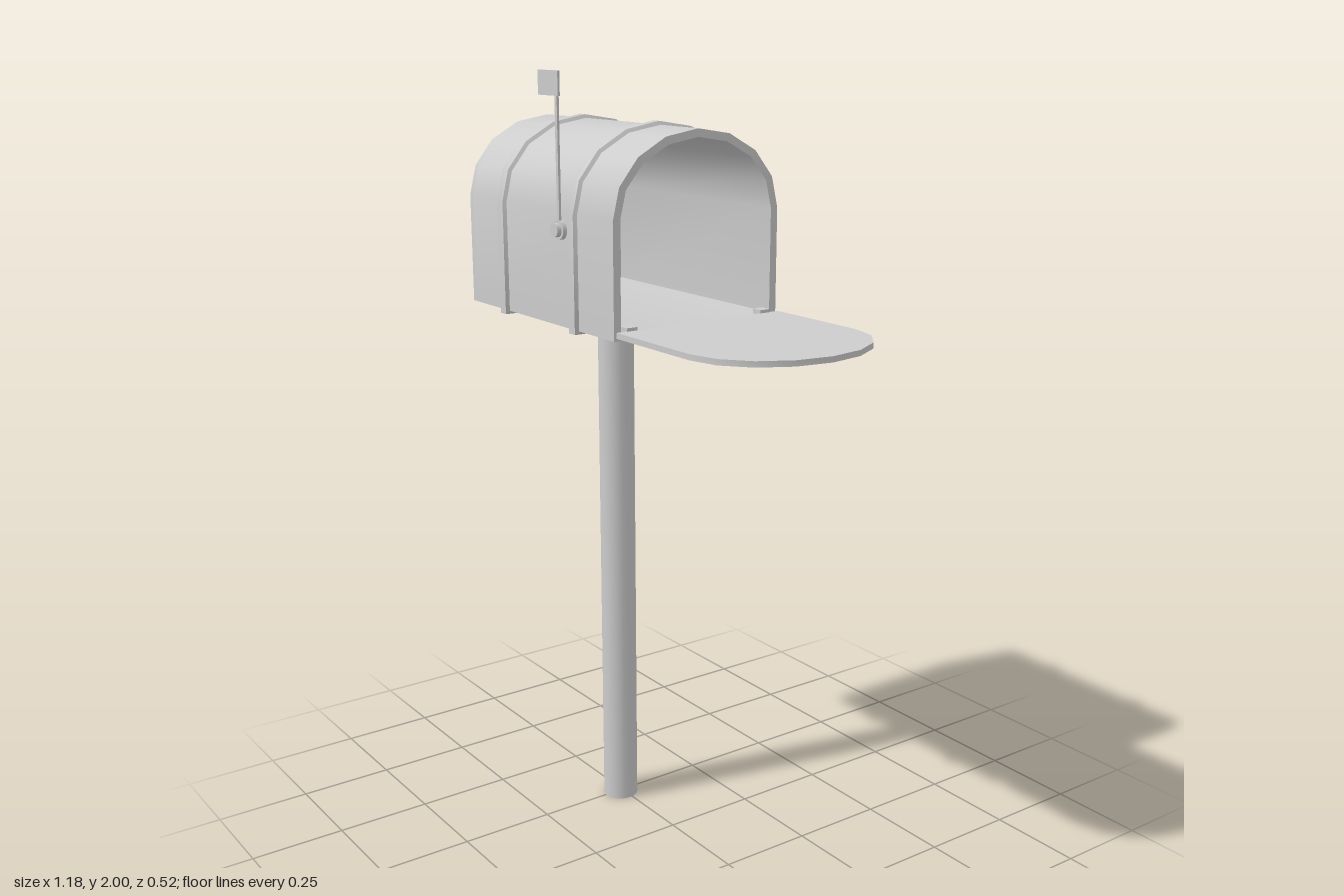
import * as THREE from 'three';
import { toCreasedNormals } from 'three/addons/utils/BufferGeometryUtils.js';

const CZ = -0.008; // centre line of the box in z
const HALF = 0.243, SPRING = 1.67, RISE = 0.2, BASE = 1.39;

// Arched outline, offset outwards by d: bottom right, over the top, bottom left
function arch(d = 0, base = BASE - d) {
  const pts = [new THREE.Vector2(HALF + d, base)];
  for (let i = 0; i <= 8; i++) {
    const a = (i / 8) * Math.PI;
    pts.push(new THREE.Vector2(Math.cos(a) * (HALF + d), SPRING + Math.sin(a) * (RISE + d)));
  }
  pts.push(new THREE.Vector2(-HALF - d, base));
  return pts;
}

// Closes the arch with a gently sagging floor
function closedArch(d, sag = 0.01) {
  const pts = arch(d), n = 8, w = HALF + d;
  for (let i = 1; i < n; i++) {
    const t = -1 + (2 * i) / n;
    pts.push(new THREE.Vector2(t * w, BASE - d - sag * (1 - t * t)));
  }
  return pts;
}

// Extrudes an outline along x from x0 to x1
function alongX(shape, x0, x1) {
  const g = new THREE.ExtrudeGeometry(shape, { depth: x1 - x0, bevelEnabled: false });
  g.rotateY(Math.PI / 2).translate(x0, 0, CZ);
  return toCreasedNormals(g, 0.6);
}

// Raised band that follows the arch and tucks under the floor edges
function ribGeometry(x) {
  const section = [[-0.02, -0.003], [-0.013, 0.009], [0.013, 0.009], [0.02, -0.003]];
  const pos = [], idx = [];
  let n = 0;
  for (const [dx, d] of section) {
    const pts = arch(d);
    pts.unshift(new THREE.Vector2(HALF - 0.025, BASE - d));
    pts.push(new THREE.Vector2(-HALF + 0.025, BASE - d));
    n = pts.length;
    for (const p of pts) pos.push(x + dx, p.y, CZ + p.x);
  }
  for (let j = 0; j < section.length - 1; j++) {
    for (let i = 0; i < n - 1; i++) {
      const a = j * n + i, b = a + n;
      idx.push(a, b, a + 1, b, b + 1, a + 1);
    }
  }
  const g = new THREE.BufferGeometry();
  g.setAttribute('position', new THREE.Float32BufferAttribute(pos, 3));
  g.setIndex(idx);
  return toCreasedNormals(g, 0.9);
}

export function createModel() {
  const group = new THREE.Group();
  group.name = 'mailbox';
  const metal = new THREE.MeshStandardMaterial({ color: 0xcccccc, side: THREE.DoubleSide });
  metal.name = 'light grey metal';

  function add(name, geometry, x = 0, y = 0, z = 0) {
    const m = new THREE.Mesh(geometry, metal);
    m.name = name;
    m.position.set(x, y, z);
    group.add(m);
    return m;
  }

  // Post, open at both ends
  add('post', new THREE.CylinderGeometry(0.047, 0.047, 1.385, 20, 1, true), -0.245, 0.6925, 0.008);

  // Hollow box with an open end, and its closed back
  const shell = new THREE.Shape(closedArch(0));
  shell.holes.push(new THREE.Path(closedArch(-0.02)));
  add('shell', alongX(shell, -0.578, 0.092));
  add('backPanel', alongX(new THREE.Shape(closedArch(0)), -0.592, -0.578));

  // Two pressed ribs
  for (const x of [-0.417, -0.08]) add('rib', ribGeometry(x));

  // Lowered door, the same arch laid flat
  const doorPts = arch(0, BASE).map((p) => new THREE.Vector2(p.x, p.y - BASE + 0.01));
  doorPts.forEach((p) => { if (p.y > 0.02) p.y += 0.008; });
  const door = new THREE.ExtrudeGeometry(new THREE.Shape(doorPts), { depth: 0.014, bevelEnabled: false });
  door.applyMatrix4(new THREE.Matrix4().makeBasis(
    new THREE.Vector3(0, 0, 1), new THREE.Vector3(1, 0, 0), new THREE.Vector3(0, 1, 0)));
  add('door', toCreasedNormals(door, 0.6), 0.092, 1.399, CZ);

  // Hinge tabs at the sill
  for (const s of [-1, 1]) {
    add('hingeTab', new THREE.BoxGeometry(0.03, 0.012, 0.03), 0.09, 1.415, CZ + s * 0.2);
  }

  // Signal flag: pivot knob, rod and plate
  const knob = (name, r, depth, z) => {
    const g = new THREE.CylinderGeometry(r, r, depth, 16).rotateX(Math.PI / 2);
    add(name, g, -0.132, 1.628, z);
  };
  knob('pivotWasher', 0.024, 0.014, 0.239);
  knob('pivotCap', 0.017, 0.016, 0.25);
  add('flagRod', new THREE.BoxGeometry(0.01, 0.33, 0.006), -0.132, 1.793, 0.242);
  add('flagPlate', new THREE.BoxGeometry(0.09, 0.058, 0.006), -0.167, 1.971, 0.242);

  return group;
}
